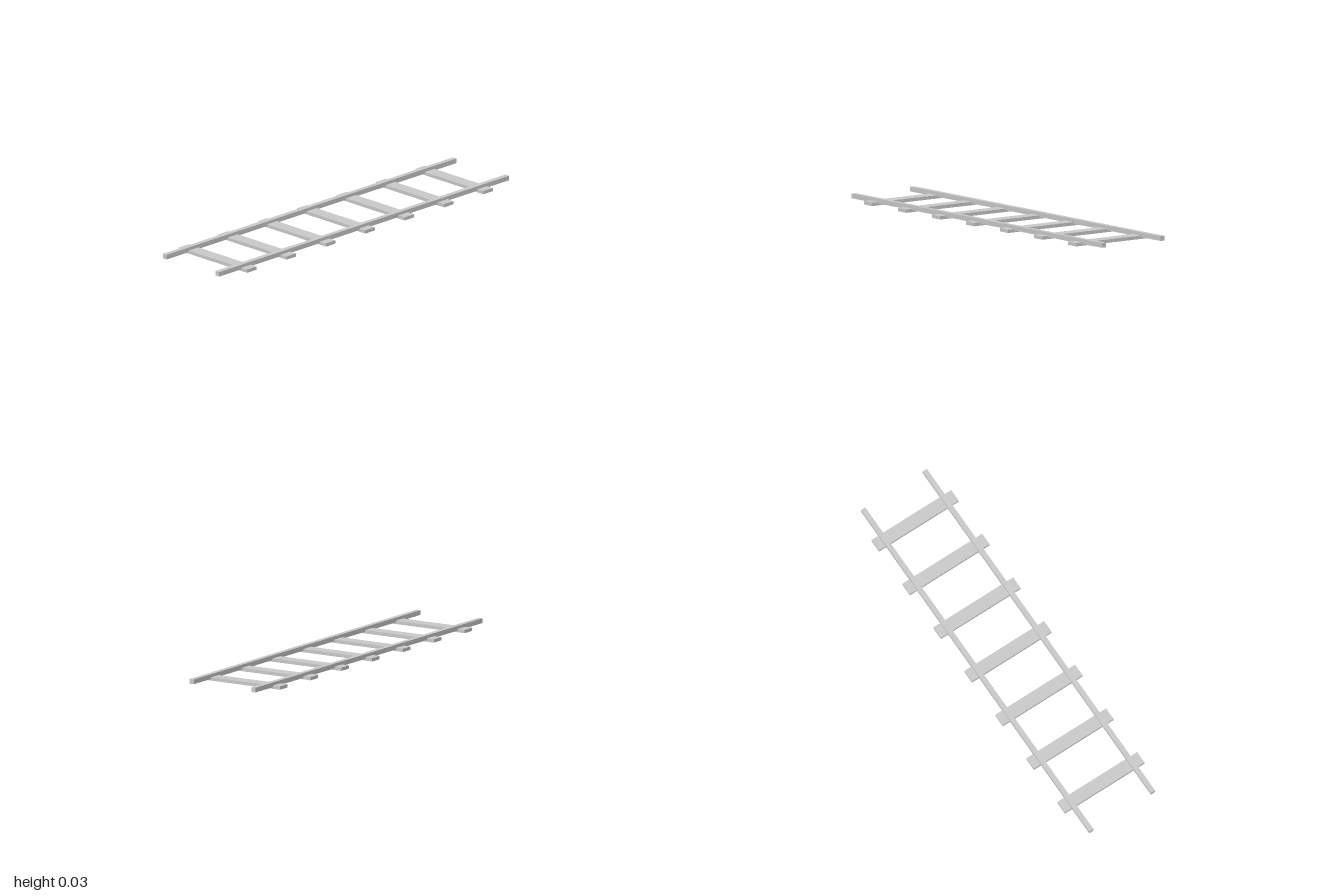
import * as THREE from 'three';

export function createModel() {
  const track = new THREE.Group();
  track.name = 'railwayTrack';
  const material = new THREE.MeshStandardMaterial({ color: 0xcccccc, flatShading: true });

  const addBeam = (name, geometry, x, y, z) => {
    const mesh = new THREE.Mesh(geometry, material);
    mesh.name = name;
    mesh.position.set(x, y, z);
    track.add(mesh);
  };

  // Seven flat sleepers resting on the ground
  const sleeperCount = 7, spacing = 0.2715, sleeperHeight = 0.0165;
  const sleeper = new THREE.BoxGeometry(0.066, sleeperHeight, 0.466);
  for (let i = 0; i < sleeperCount; i++) {
    addBeam(`sleeper${i + 1}`, sleeper, (i - (sleeperCount - 1) / 2) * spacing, sleeperHeight / 2, 0);
  }

  // Two square rails let into the tops of the sleepers
  const rail = new THREE.BoxGeometry(2, 0.0235, 0.025);
  for (const side of [1, -1]) {
    addBeam(side > 0 ? 'frontRail' : 'backRail', rail, 0, 0.02, side * 0.18);
  }

  return track;
}
